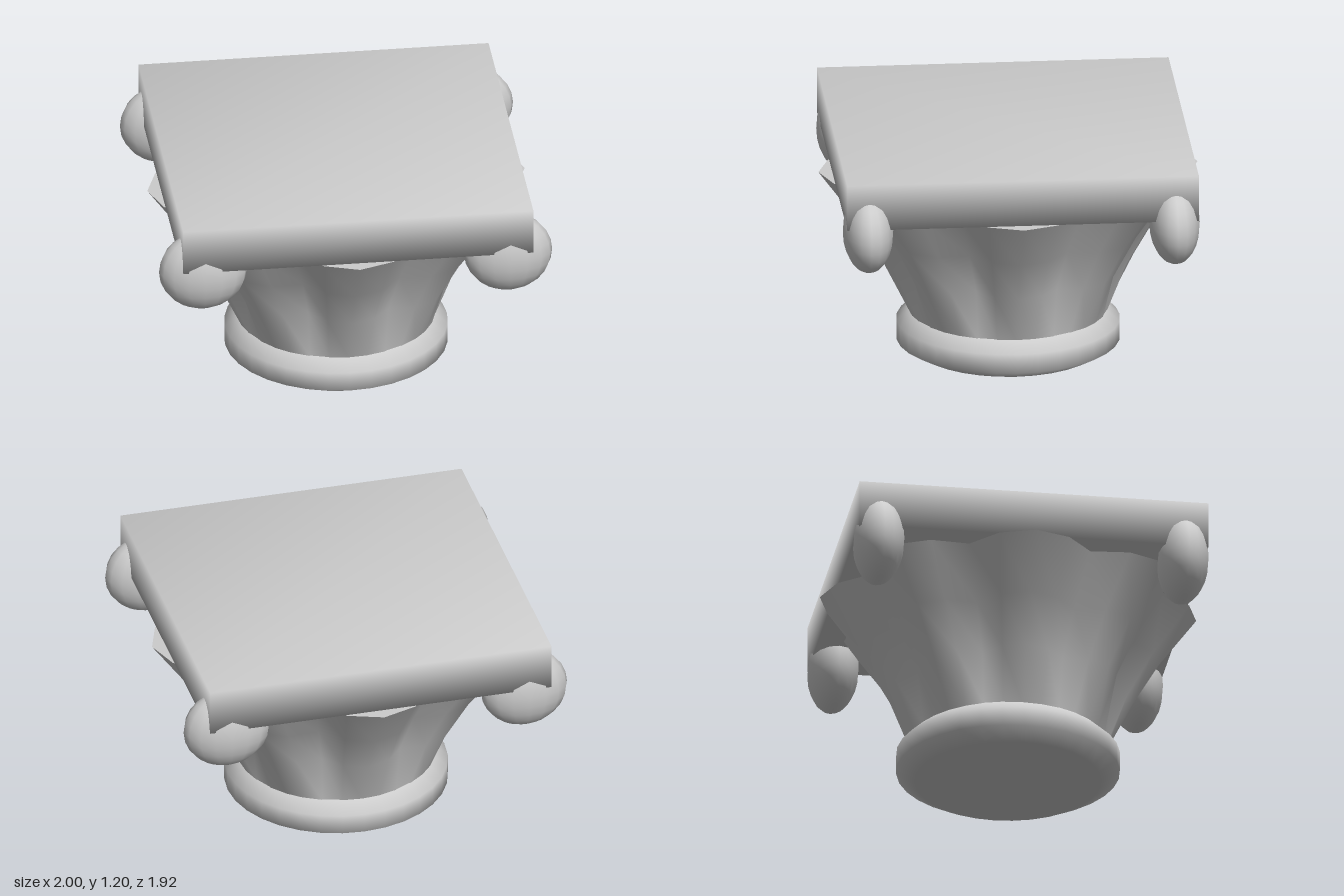
import * as THREE from 'three';
import { mergeVertices } from 'three/addons/utils/BufferGeometryUtils.js';

const stone = new THREE.MeshStandardMaterial({ color: 0xcccccc });
stone.name = 'pale stone';

function add(group, name, geometry) {
  const mesh = new THREE.Mesh(geometry, stone);
  mesh.name = name;
  group.add(mesh);
  return mesh;
}

// Share vertices so that the normals run smoothly over every edge.
function smooth(geometry) {
  geometry.deleteAttribute('uv');
  geometry.deleteAttribute('normal');
  const merged = mergeVertices(geometry, 1e-4);
  merged.computeVertexNormals();
  return merged;
}

const lathe = (points) =>
  new THREE.LatheGeometry(points.map(([r, y]) => new THREE.Vector2(r, y)), 32);

// Pull the turned surface in between eight ridges; the flutes deepen upward.
function flute(geometry) {
  const p = geometry.attributes.position;
  for (let i = 0; i < p.count; i++) {
    const x = p.getX(i), y = p.getY(i), z = p.getZ(i);
    const depth = 0.16 * THREE.MathUtils.clamp((y - 0.21) / 0.26, 0, 1);
    const k = 1 - depth * (1 - Math.abs(Math.cos(4 * Math.atan2(x, z))));
    p.setXYZ(i, x * k, y, z * k);
  }
  return smooth(geometry);
}

export function createModel() {
  const capital = new THREE.Group();
  capital.name = 'columnCapital';

  // Rounded collar at the foot
  add(capital, 'collar', smooth(lathe([
    [0, 0], [0.475, 0], [0.565, 0.05], [0.565, 0.15], [0.5, 0.21], [0.47, 0.215],
  ])));

  // Flaring fluted bell, with its pointed rim closed on top
  add(capital, 'bell', flute(lathe([
    [0.5, 0.2], [0.635, 0.47], [0.77, 0.7], [0.96, 0.957],
  ])));
  add(capital, 'bellRim', flute(lathe([[0.96, 0.957], [0, 0.957]])));

  // Square slab with softly shaded edges
  const slab = new THREE.BoxGeometry(1.78, 0.24, 1.78);
  add(capital, 'slab', smooth(slab)).position.y = 1.077;

  // Flattened scroll at each corner
  const scroll = new THREE.SphereGeometry(1, 16, 12).scale(0.224, 0.212, 0.128);
  scroll.computeVertexNormals();
  const scrollGeometry = smooth(scroll);
  for (const sx of [-1, 1]) {
    for (const sz of [-1, 1]) {
      const side = (sz > 0 ? 'front' : 'back') + (sx > 0 ? 'Left' : 'Right');
      add(capital, side + 'Scroll', scrollGeometry).position.set(sx * 0.776, 0.913, sz * 0.776);
    }
  }
  return capital;
}
